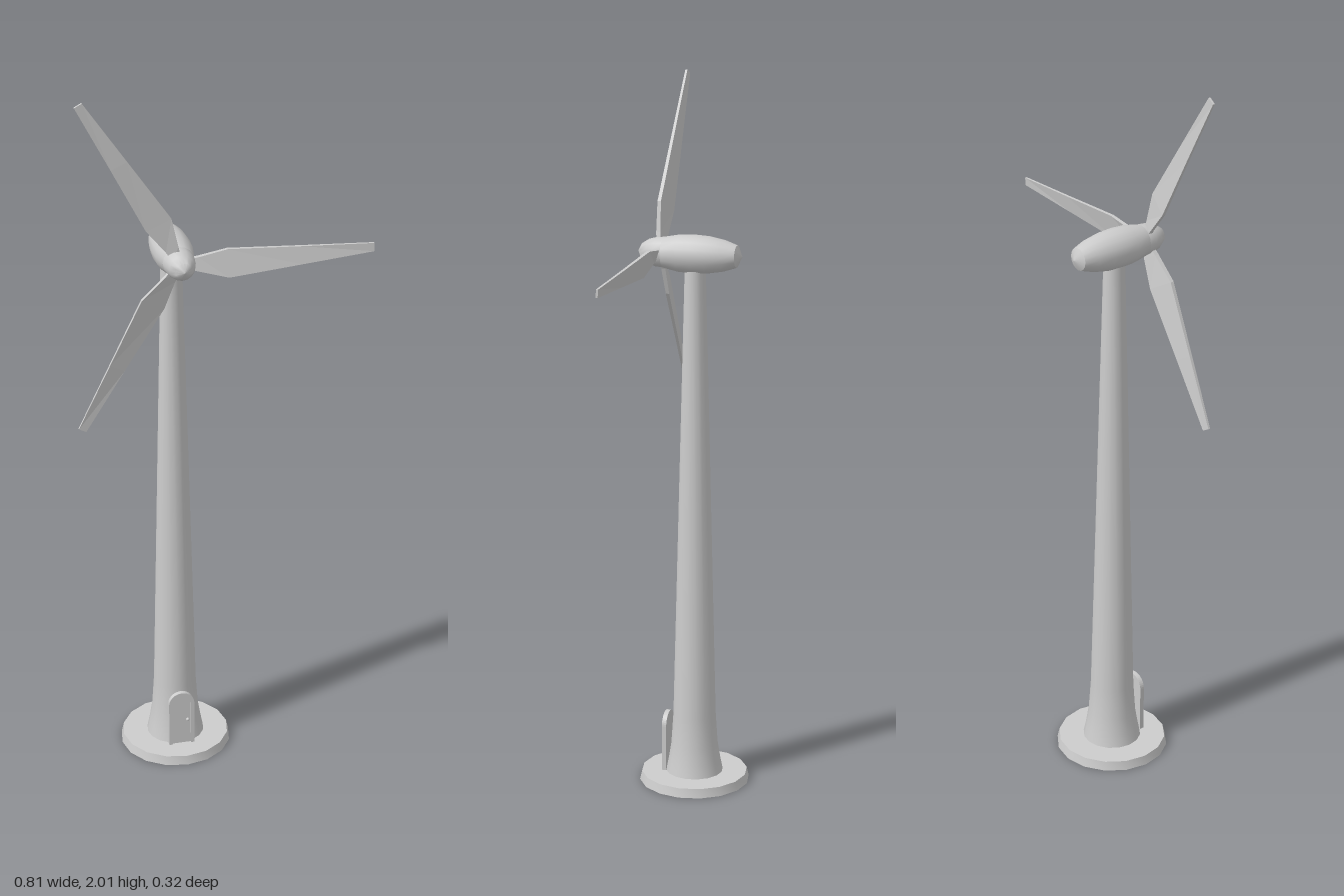
import * as THREE from 'three';
import { toCreasedNormals } from 'three/addons/utils/BufferGeometryUtils.js';

const AXIS_X = -0.13, AXIS_Z = -0.004, HUB_Y = 1.542;

// Lathe from [radius, height] pairs, listed upwards
function turned(profile, sides = 16, crease = 0.7) {
  const pts = profile.map(([r, y]) => new THREE.Vector2(r, y));
  return toCreasedNormals(new THREE.LatheGeometry(pts, sides), crease);
}

// Blade along +x, lofted through four-cornered pitched sections
function bladeGeometry() {
  // [x, lower edge, upper edge, pitch offset, half thickness]
  const sections = [
    [0.02, -0.014, 0.012, 0.003, 0.006],
    [0.05, -0.022, 0.014, 0.006, 0.006],
    [0.13, -0.047, 0.027, 0.009, 0.005],
    [0.33, -0.032, 0.016, 0.005, 0.004],
    [0.53, -0.017, 0.006, 0.001, 0.003],
  ];
  const rings = sections.map(([x, lo, hi, p, t]) => [
    [x, lo, p - t], [x, hi, -p - t], [x, hi, -p + t], [x, lo, p + t],
  ]);
  const pos = [];
  const quad = (a, b, c, d) => [a, b, c, a, c, d].forEach((v) => pos.push(...v));
  for (let s = 0; s < rings.length - 1; s++) {
    const a = rings[s], b = rings[s + 1];
    for (let i = 0; i < 4; i++) {
      const j = (i + 1) % 4;
      quad(a[i], a[j], b[j], b[i]);
    }
  }
  quad(...rings[rings.length - 1]);
  quad(...[...rings[0]].reverse());
  const g = new THREE.BufferGeometry();
  g.setAttribute('position', new THREE.Float32BufferAttribute(pos, 3));
  g.computeVertexNormals();
  return g;
}

// Round-topped outline for the doorway
function archPath(Type, half, height) {
  const p = new Type();
  p.moveTo(-half, 0);
  p.lineTo(half, 0);
  p.lineTo(half, height - half);
  p.absarc(0, height - half, half, 0, Math.PI, false);
  p.lineTo(-half, 0);
  return p;
}

export function createModel() {
  const model = new THREE.Group();
  model.name = 'windTurbine';
  const grey = new THREE.MeshStandardMaterial({ color: 0xcccccc });
  grey.name = 'light grey';

  const add = (name, geometry, x, y, z, parent = model) => {
    const mesh = new THREE.Mesh(geometry, grey);
    mesh.name = name;
    mesh.position.set(x, y, z);
    parent.add(mesh);
    return mesh;
  };

  // Foundation and flared tower
  add('base', turned([[0, 0], [0.158, 0], [0.152, 0.026], [0, 0.026]]), AXIS_X, 0, AXIS_Z);
  add('tower', turned([
    [0.083, 0.02], [0.075, 0.06], [0.067, 0.11], [0.061, 0.2], [0.029, 1.51],
  ]), AXIS_X, 0, AXIS_Z);

  // Nacelle body, lying along z
  add('nacelle', turned([
    [0, -0.138], [0.031, -0.123], [0.044, -0.085], [0.052, -0.04],
    [0.054, 0], [0.052, 0.04], [0.043, 0.085], [0, 0.085],
  ]).rotateX(Math.PI / 2), AXIS_X, HUB_Y, 0);

  // Rotor: nose cone and three blades
  const rotor = new THREE.Group();
  rotor.name = 'rotor';
  rotor.position.set(AXIS_X, HUB_Y, 0.098);
  model.add(rotor);
  add('noseCone', turned([
    [0, -0.014], [0.043, -0.014], [0.041, 0.008], [0.035, 0.03], [0.022, 0.05], [0, 0.062],
  ]).rotateX(Math.PI / 2), 0, 0, 0, rotor);
  const blade = bladeGeometry();
  for (let i = 0; i < 3; i++) {
    add('blade' + (i + 1), blade, 0, 0, 0, rotor).rotation.z = (i * Math.PI * 2) / 3;
  }

  // Arched door with a raised frame and a knob
  const door = new THREE.Group();
  door.name = 'door';
  door.position.set(AXIS_X, 0.024, 0.07);
  model.add(door);
  const frame = archPath(THREE.Shape, 0.037, 0.173);
  frame.holes.push(archPath(THREE.Path, 0.027, 0.162));
  const depth = (d) => ({ depth: d, bevelEnabled: false, curveSegments: 10 });
  add('doorFrame', new THREE.ExtrudeGeometry(frame, depth(0.013)), 0, 0, 0, door);
  add('doorPanel', new THREE.ExtrudeGeometry(archPath(THREE.Shape, 0.027, 0.162), depth(0.008)), 0, 0, 0, door);
  add('doorKnob', new THREE.SphereGeometry(0.005, 10, 8), 0.018, 0.08, 0.01, door);

  return model;
}
